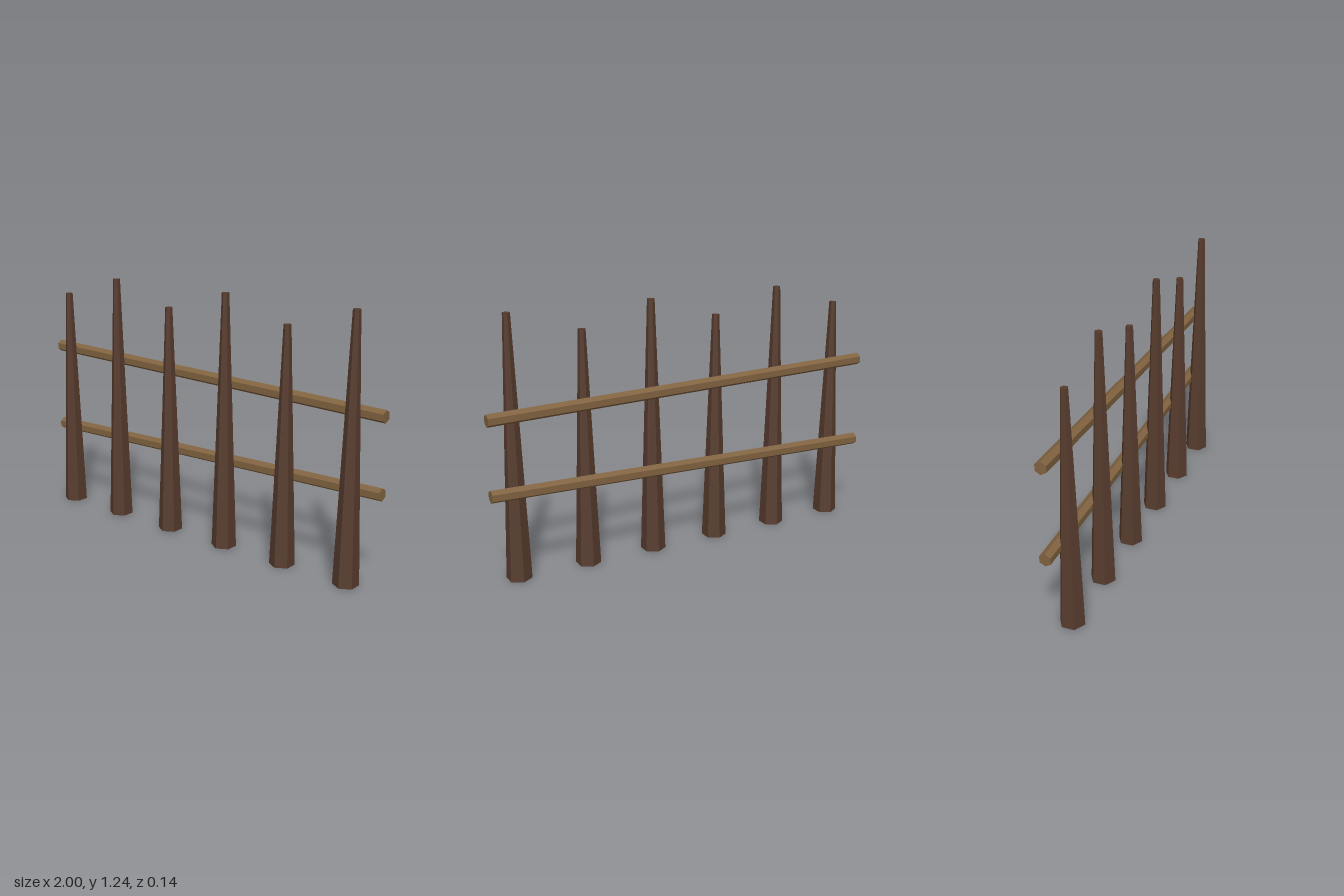
import * as THREE from 'three';

export function createModel() {
  const group = new THREE.Group();
  const darkWood = new THREE.MeshStandardMaterial({ color: 0x573b2d });
  darkWood.name = 'dark wood';
  darkWood.flatShading = true;
  const lightWood = new THREE.MeshStandardMaterial({ color: 0x80623f });
  lightWood.name = 'light wood';
  lightWood.flatShading = true;

  // Six tapered hexagonal posts, alternating short and tall
  for (let i = 0; i < 6; i++) {
    const height = i % 2 ? 1.235 : 1.13;
    const post = new THREE.Mesh(new THREE.CylinderGeometry(0.0175, 0.06, height, 6), darkWood);
    post.name = 'post' + (i + 1);
    post.position.set(-0.868 + i * 0.3472, height / 2, 0.01);
    group.add(post);
  }

  // Two slightly sloping hexagonal rails behind the posts
  function addRail(name, rightY, leftY) {
    const geometry = new THREE.CylinderGeometry(0.03, 0.03, 2, 6);
    geometry.rotateY(Math.PI / 2).rotateZ(Math.PI / 2);
    const rail = new THREE.Mesh(geometry, lightWood);
    rail.name = name;
    rail.position.set(0, (rightY + leftY) / 2, -0.043);
    rail.rotation.z = Math.atan2(leftY - rightY, 2);
    group.add(rail);
  }
  addRail('upperRail', 0.828, 0.785);
  addRail('lowerRail', 0.394, 0.437);

  return group;
}
